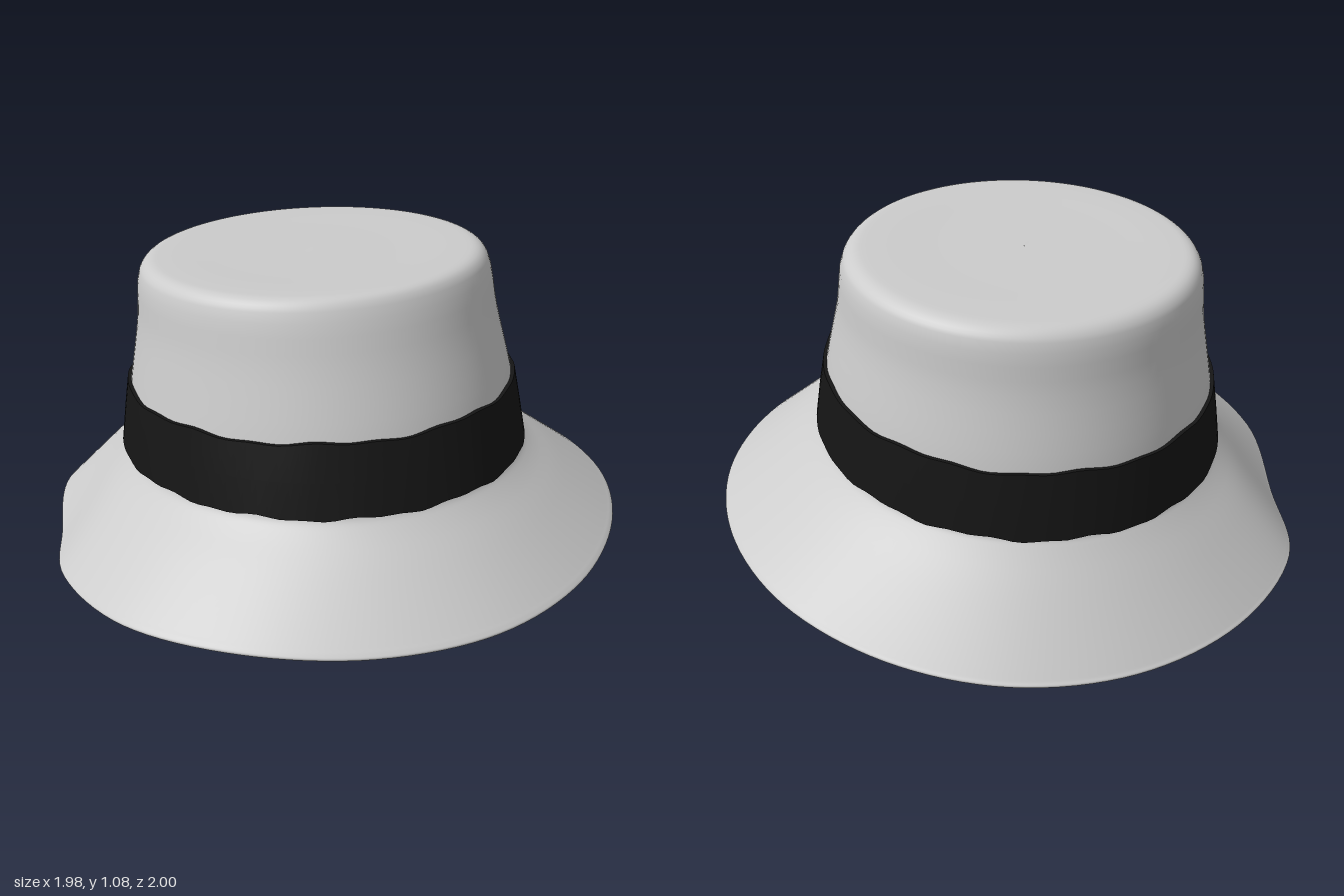
import * as THREE from 'three';
import { toCreasedNormals } from 'three/addons/utils/BufferGeometryUtils.js';

const SEG = 128;
const TAU = Math.PI * 2;

// Tilted oval ring: front z, back z, front y, back y, -x side, +x side
function ring(zF, zB, yF, yB, xL, xR) {
  return (a) => {
    const k = (Math.cos(a) + 1) / 2;
    return new THREE.Vector3(
      (xL + xR) / 2 + (xR - xL) / 2 * Math.sin(a),
      yB + (yF - yB) * k,
      zB + (zF - zB) * k);
  };
}

// Same ring moved outward by d and raised by dy(a)
function offset(r, d, dy = () => 0) {
  return (a) => r(a).add(new THREE.Vector3(Math.sin(a) * d, dy(a), Math.cos(a) * d));
}

const mix = (r0, r1, t) => (a) => r0(a).lerp(r1(a), t);

// Skin rows of points running round the hat; smooth adds samples along a spline
function loft(rings, samples) {
  const pos = [], index = [];
  let n = 0;
  for (let j = 0; j < SEG; j++) {
    const a = j / SEG * TAU;
    let pts = rings.map((r) => r(a));
    if (samples) pts = new THREE.CatmullRomCurve3(pts).getPoints((pts.length - 1) * samples);
    n = pts.length;
    pts.forEach((p) => pos.push(p.x, p.y, p.z));
  }
  for (let j = 0; j < SEG; j++) {
    const k = (j + 1) % SEG;
    for (let i = 0; i < n - 1; i++) {
      const A = j * n + i, B = k * n + i;
      index.push(A, A + 1, B, B, A + 1, B + 1);
    }
  }
  const g = new THREE.BufferGeometry();
  g.setAttribute('position', new THREE.Float32BufferAttribute(pos, 3));
  g.setIndex(index);
  g.computeVertexNormals();
  return g;
}

// Wavy brim outline: [radius, height] every 22.5 degrees, from the front toward +x
const outline = [
  [1, .16], [.99, .16], [.985, .165], [.99, .15], [.99, .125], [.99, .085], [.98, .035], [.99, .008],
  [1, 0], [1.01, .015], [1.01, .045], [.945, .045], [.99, .11], [1.02, .15], [1.01, .17], [1, .165],
];
const edgeCurve = new THREE.CatmullRomCurve3(outline.map(([r, y], i) => {
  const a = i / outline.length * TAU;
  return new THREE.Vector3(Math.sin(a) * r, y, Math.cos(a) * r);
}), true);
const edge = (a) => edgeCurve.getPoint(a / TAU);

export function createModel() {
  const hat = new THREE.Group();
  hat.name = 'bucketHat';
  const felt = new THREE.MeshStandardMaterial({ color: 0xcccccc, side: THREE.DoubleSide });
  const black = new THREE.MeshStandardMaterial({ color: 0x151515 });
  const add = (name, geometry, material) => {
    const m = new THREE.Mesh(geometry, material);
    m.name = name;
    hat.add(m);
  };

  // Crown rings from the tilted top down to the brim
  const top = [
    ring(-.089, -.091, 1.037, 1.036, -.016, -.014),
    ring(.2, -.36, 1.057, 1.017, -.3, .27),
    ring(.4, -.56, 1.075, 1.004, -.5, .47),
    ring(.455, -.62, 1.073, .994, -.56, .53),
    ring(.482, -.65, 1.045, .96, -.588, .563),
  ];
  const wall = [
    ring(.545, -.675, .88, .8, -.608, .582),
    ring(.62, -.72, .68, .57, -.645, .622),
    ring(.685, -.745, .46, .355, -.682, .652),
  ];
  const base = ring(.71, -.76, .43, .33, -.7, .67);
  const topEdge = offset(edge, -.008, () => .02);

  // Outer skin, rolled brim edge, then the lining back up inside the crown
  const drop = (d) => () => -d;
  const innerBase = offset(base, -.02, drop(.015));
  const skin = [
    ...top, ...wall, base,
    mix(base, topEdge, .35), mix(base, topEdge, .7), mix(base, topEdge, .95), topEdge,
    offset(edge, 0, () => .01), offset(edge, -.01),
    mix(innerBase, edge, .7), mix(innerBase, edge, .35), innerBase,
    ...wall.slice().reverse().map((r) => offset(r, -.025)),
    offset(top[4], -.025, drop(.025)), offset(top[2], -.01, drop(.03)), offset(top[0], 0, drop(.03)),
  ];
  add('crownAndBrim', loft(skin, 4), felt);

  // Ribbon band with slightly uneven edges
  const ripple = (f) => (a) => .004 * Math.sin(f * a) + .003 * Math.sin((2 * f + 3) * a + 1);
  const up = wall[1], low = wall[2];
  const band = [
    offset(up, -.01, ripple(9)), offset(up, .012, ripple(9)),
    offset(mix(up, low, .5), .013),
    offset(low, .012, ripple(13)), offset(low, -.01, ripple(13)),
  ];
  add('band', toCreasedNormals(loft(band, 0), .7), black);

  return hat;
}
